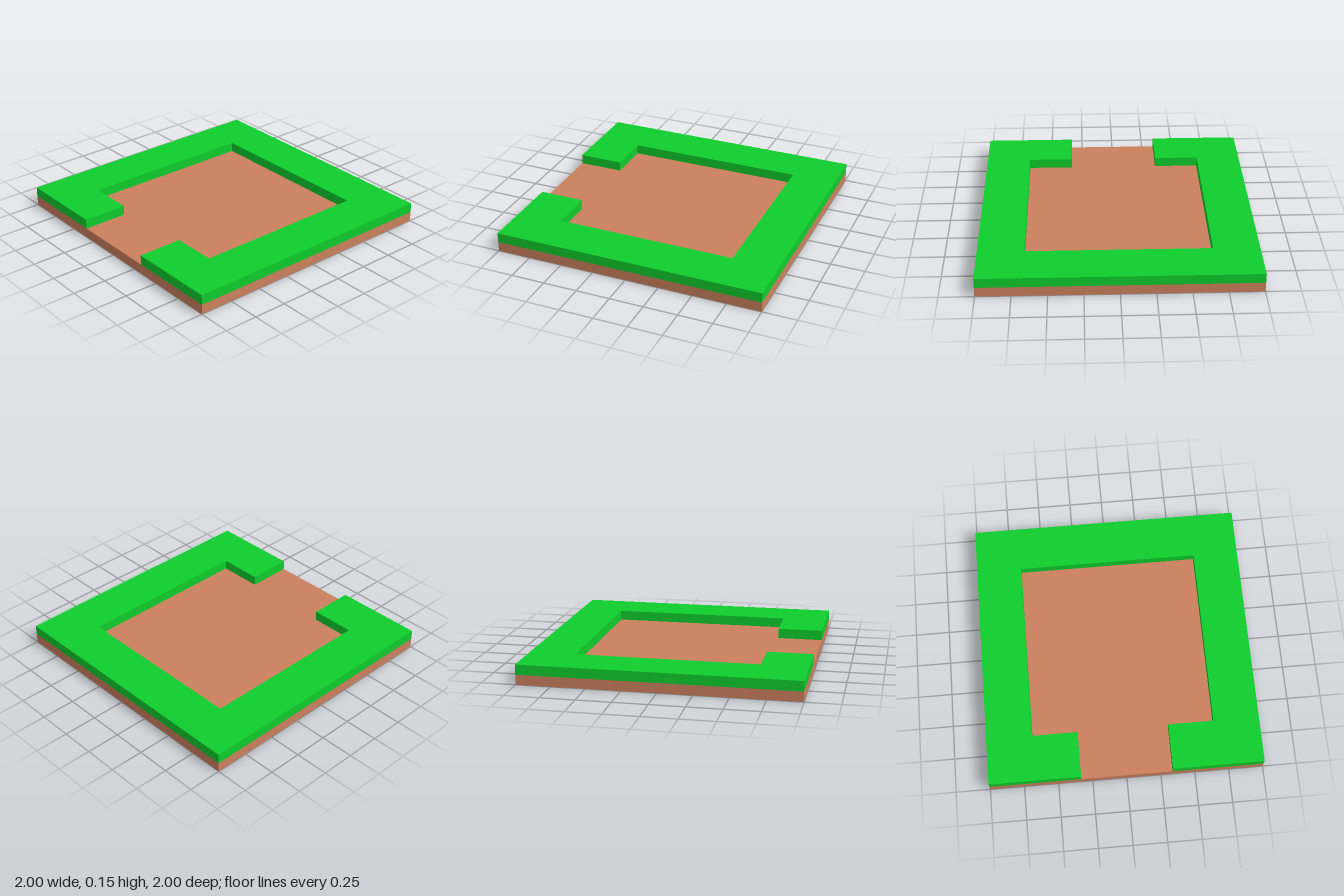
import * as THREE from 'three';

export function createModel() {
  const model = new THREE.Group();
  const layer = 0.073; // thickness of each layer
  const inner = 0.665; // half width of the clearing
  const gap = 0.333; // half width of the front opening

  const add = (name, geometry, color, y) => {
    const mesh = new THREE.Mesh(geometry, new THREE.MeshStandardMaterial({ color, flatShading: true }));
    mesh.name = name;
    mesh.position.y = y;
    model.add(mesh);
  };

  // Square earth slab
  add('dirtBase', new THREE.BoxGeometry(2, layer, 2), 0xcc805d, layer / 2);

  // Grass border around the clearing, open at the front; one half outline, mirrored
  const half = [[gap, -1], [1, -1], [1, 1], [-1, 1], [-1, -1], [-gap, -1],
    [-gap, -inner], [-inner, -inner], [-inner, inner], [inner, inner], [inner, -inner], [gap, -inner]];
  const outline = new THREE.Shape(half.map(([x, y]) => new THREE.Vector2(x, y)));
  const grass = new THREE.ExtrudeGeometry(outline, { depth: layer, bevelEnabled: false });
  grass.rotateX(-Math.PI / 2);
  add('grassBorder', grass, 0x0fcd2c, layer);

  return model;
}
